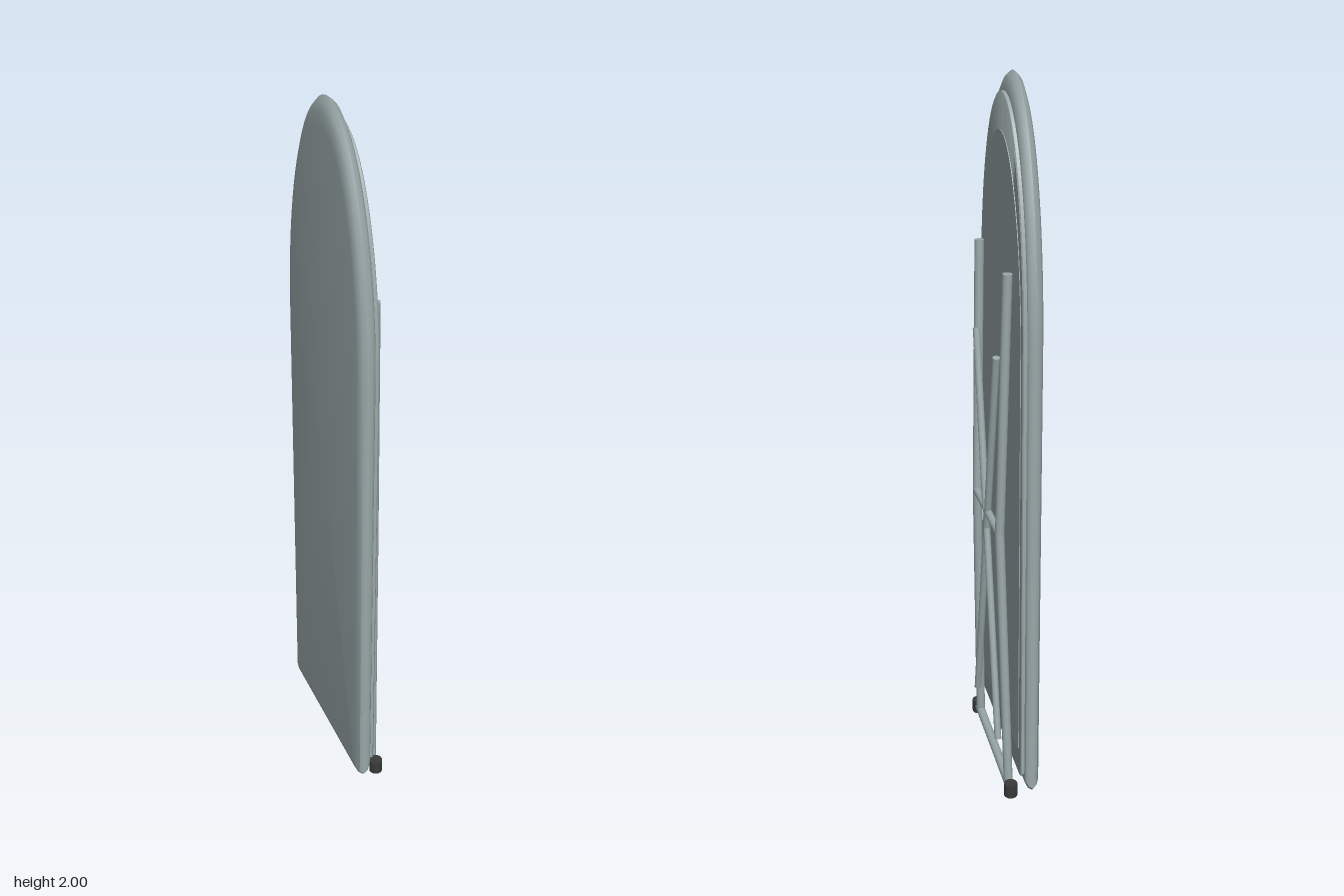
import * as THREE from 'three';
import { toCreasedNormals } from 'three/addons/utils/BufferGeometryUtils.js';

// Board outline as [y, z] pairs: square foot with clipped corners, half-elliptical nose
function outline(half, bottom, top, shoulder = 1.35, steps = 40) {
  const c = 0.012;
  const pts = [[bottom, half - c], [bottom, c - half], [bottom + c, -half]];
  for (let i = 0; i <= steps; i++) {
    const a = (Math.PI * i) / steps;
    pts.push([shoulder + Math.sin(a) * (top - shoulder), -Math.cos(a) * half]);
  }
  pts.push([bottom + c, half]);
  return pts;
}

// Skins a stack of outlines along x and closes both ends
function loft(levels) {
  const rings = levels.map(([x, half, bottom, top]) =>
    outline(half, bottom, top).map(([y, z]) => [x, y, z]));
  const pos = [];
  const tri = (a, b, c) => pos.push(...a, ...b, ...c);
  const n = rings[0].length;
  const last = rings.length - 1;
  for (let i = 0; i < n; i++) {
    const k = (i + 1) % n;
    for (let j = 0; j < last; j++) {
      const a = rings[j][i], b = rings[j][k], c = rings[j + 1][k], d = rings[j + 1][i];
      tri(a, b, c);
      tri(a, c, d);
    }
    tri([levels[0][0], 1, 0], rings[0][k], rings[0][i]);
    tri([levels[last][0], 1, 0], rings[last][i], rings[last][k]);
  }
  const geo = new THREE.BufferGeometry();
  geo.setAttribute('position', new THREE.Float32BufferAttribute(pos, 3));
  return toCreasedNormals(geo, 0.65);
}

export function createModel() {
  const model = new THREE.Group();
  const grey = new THREE.MeshStandardMaterial({ color: 0x9aa8a9 });
  grey.name = 'pale grey';
  const black = new THREE.MeshStandardMaterial({ color: 0x3a3a3a });
  black.name = 'dark rubber';

  const add = (name, geo, mat = grey) => {
    const mesh = new THREE.Mesh(geo, mat);
    mesh.name = name;
    model.add(mesh);
    return mesh;
  };

  // Straight round bar between two points
  const up = new THREE.Vector3(0, 1, 0);
  const bar = (name, from, to, r) => {
    const a = new THREE.Vector3(...from), b = new THREE.Vector3(...to);
    const dir = b.clone().sub(a);
    const mesh = add(name, new THREE.CylinderGeometry(r, r, dir.length(), 16));
    mesh.position.copy(a).add(b).multiplyScalar(0.5);
    mesh.quaternion.setFromUnitVectors(up, dir.normalize());
  };

  // Padded board: each level is [x, half width, bottom, top]
  add('paddedBoard', loft([
    [-0.055, 0.235, 0.07, 1.93],
    [-0.053, 0.248, 0.052, 1.963],
    [-0.046, 0.259, 0.038, 1.988],
    [-0.034, 0.265, 0.03, 2.0],
    [-0.022, 0.263, 0.038, 1.99],
    [-0.014, 0.258, 0.055, 1.97],
    [-0.011, 0.253, 0.075, 1.95],
  ]));

  // Underside: rim of the cover, and the flat panel inside it
  add('coverRim', loft([
    [-0.014, 0.253, 0.075, 1.95],
    [-0.003, 0.253, 0.075, 1.95],
    [0, 0.25, 0.079, 1.944],
  ]));
  add('undersidePanel', loft([
    [-0.002, 0.232, 0.15, 1.855],
    [0.002, 0.232, 0.15, 1.855],
  ]));

  for (const s of [1, -1]) {
    const side = s > 0 ? 'Front' : 'Back';

    // Leg tube with a bend at mid height
    const knee = [0.036, 0.8, s * 0.147];
    bar('upperLeg' + side, [0.021, 1.53, s * 0.17], knee, 0.013);
    bar('lowerLeg' + side, knee, [0.021, 0.025, s * 0.19], 0.013);
    add('legBend' + side, new THREE.SphereGeometry(0.013, 16, 10)).position.set(...knee);

    // Crossed brace
    bar('crossBrace' + side, [0.04, 1.295, s * 0.125], [0.04, 0.14, s * -0.14], 0.01);

    // Rubber foot
    add('foot' + side, new THREE.CylinderGeometry(0.019, 0.019, 0.04, 20), black)
      .position.set(0.021, 0.02, s * 0.222);
  }

  // Horizontal bars joining the legs
  bar('middleBar', [0.038, 0.8, 0.147], [0.038, 0.8, -0.147], 0.011);
  bar('footBar', [0.021, 0.023, 0.222], [0.021, 0.023, -0.222], 0.013);

  return model;
}
